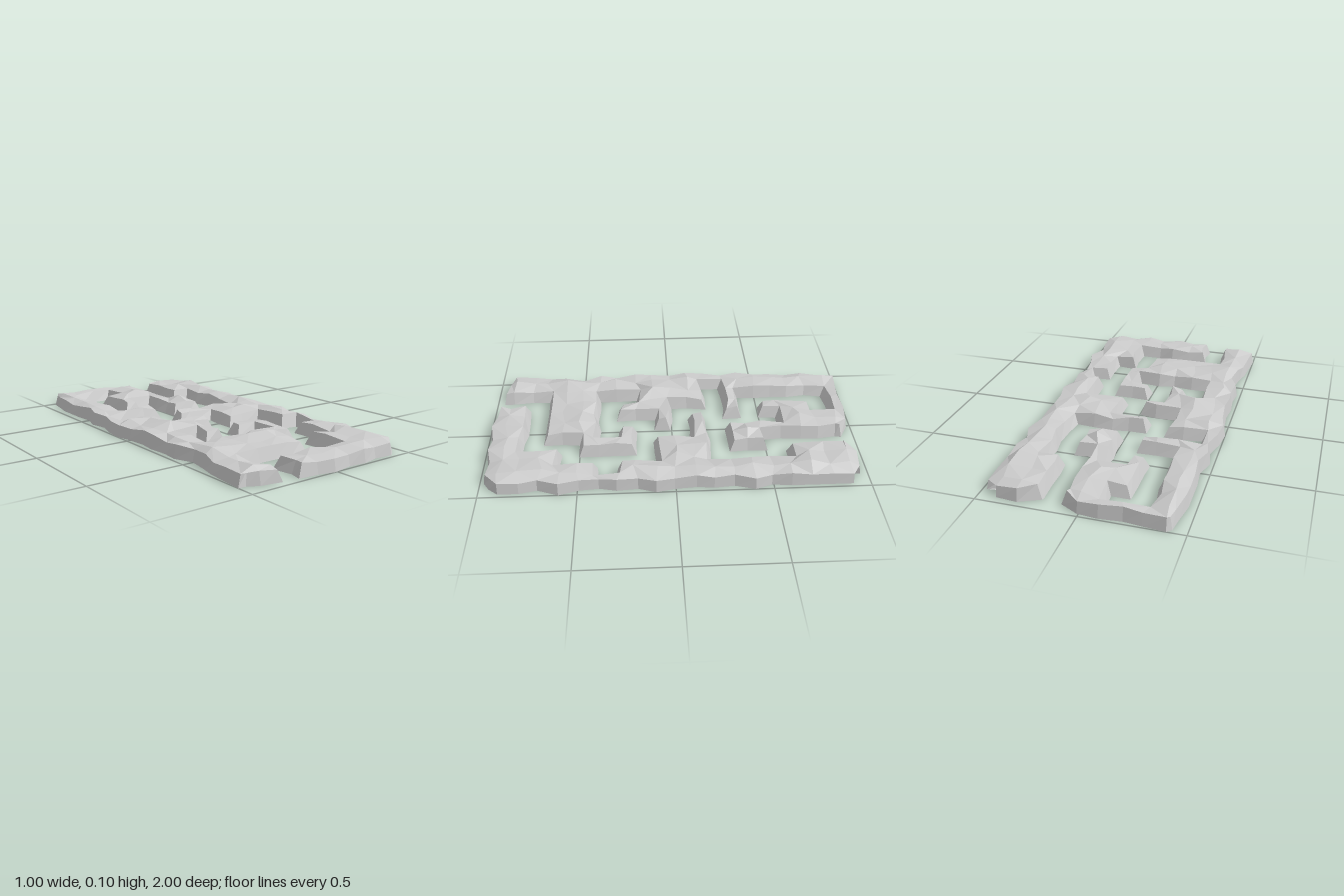
import * as THREE from 'three';

// Floor plan of the rock, one character per 0.1 cell (back row first)
const PLAN = [
  '######.###', '##..##.###', '##.###.###', '##.###.###', '##.#.#..##',
  '##...##.##', '####.##.##', '#.......##', '###.######', '###...####',
  '#####.####', '####....##', '##.#.##.##', '##....#..#', '#######.##',
  '######..##', '######.###', '##.....###', '##.#######', '##.#######',
];
// Uneven outer border, one value per grid line
const LEFT = [-.43, -.44, -.46, -.46, -.46, -.45, -.48, -.46, -.49, -.5, -.48, -.47, -.48, -.47, -.48, -.44, -.46, -.48, -.49, -.5, -.46];
const RIGHT = [.4, .48, .48, .48, .48, .47, .5, .47, .48, .47, .48, .5, .47, .48, .46, .47, .5, .46, .48, .48, .44];
const BACK = [-.98, -1, -.99, -.98, -.99, -.98, -.93, -.92, -.97, -.96, -.88];
const FRONT = [.91, .94, .96, .97, .98, 1, .98, .99, .97, .98, .95];
// Highest rock tops, keyed by grid column and row
const PEAKS = { '2,11': .1, '9,3': .105, '8,3': .09, '6,6': .095, '5,6': .06, '4,15': .085, '5,15': .09, '1,16': .09, '4,3': .08, '5,3': .09, '1,9': .085, '9,17': .085 };

const filled = (c, r) => PLAN[r]?.[c] === '#';

function noise(i, j, k) {
  const s = Math.sin(i * 12.99 + j * 78.23 + k * 37.72) * 43758.55;
  return (s - Math.floor(s)) * 2 - 1;
}

// Ground and top point of one grid corner
function corner(i, j) {
  let dx = 0, dz = 0, count = 0;
  for (const sx of [-1, 1]) for (const sz of [-1, 1]) {
    if (!filled(i + (sx - 1) / 2, j + (sz - 1) / 2)) continue;
    dx += sx; dz += sz; count++;
  }
  const outerX = i === 0 || i === 10, outerZ = j === 0 || j === 20;
  const x = i === 0 ? LEFT[j] : i === 10 ? RIGHT[j] : -0.5 + i * 0.1 + noise(i, j, 1) * 0.01;
  const z = j === 0 ? BACK[i] : j === 20 ? FRONT[i] : -1 + j * 0.1 + noise(i, j, 2) * 0.01;
  const inner = count === 4;
  const y = PEAKS[`${i},${j}`] ?? (inner ? 0.077 + noise(i, j, 3) * 0.009 : 0.064 + noise(i, j, 3) * 0.011);
  const tx = x + Math.sign(dx) * (outerX ? 0.012 : 0.025) + (inner ? noise(i, j, 4) * 0.015 : 0);
  const tz = z + Math.sign(dz) * (outerZ ? 0.012 : 0.025) + (inner ? noise(i, j, 5) * 0.015 : 0);
  return { low: [x, 0, z], high: [tx, y, tz] };
}

// All cells joined to a starting cell
function connectedCells(c, r) {
  const cells = [], seen = new Set(), queue = [[c, r]];
  while (queue.length) {
    const [x, y] = queue.pop();
    if (!filled(x, y) || seen.has(`${x},${y}`)) continue;
    seen.add(`${x},${y}`);
    cells.push([x, y]);
    queue.push([x + 1, y], [x - 1, y], [x, y + 1], [x, y - 1]);
  }
  return cells;
}

function rockMesh(name, cells) {
  const pos = [];
  const quad = (a, b, c, d) => pos.push(...a, ...b, ...c, ...a, ...c, ...d);
  for (const [c, r] of cells) {
    // ring runs front, right, back, left
    const ring = [corner(c, r + 1), corner(c + 1, r + 1), corner(c + 1, r), corner(c, r)];
    const beside = [[c, r + 1], [c + 1, r], [c, r - 1], [c - 1, r]];
    const shift = (c + r) % 2;
    const at = (k) => ring[(k + shift) % 4];
    quad(at(0).high, at(1).high, at(2).high, at(3).high);
    quad(at(3).low, at(2).low, at(1).low, at(0).low);
    // side walls only where the neighbouring cell is open
    beside.forEach(([nc, nr], k) => {
      if (filled(nc, nr)) return;
      const p = ring[k], q = ring[(k + 1) % 4];
      quad(p.low, q.low, q.high, p.high);
    });
  }
  const geometry = new THREE.BufferGeometry();
  geometry.setAttribute('position', new THREE.Float32BufferAttribute(pos, 3));
  geometry.computeVertexNormals();
  const mesh = new THREE.Mesh(geometry, new THREE.MeshStandardMaterial({ color: 0xcccccc, flatShading: true }));
  mesh.name = name;
  return mesh;
}

export function createModel() {
  const group = new THREE.Group();
  group.name = 'rockMaze';
  group.add(rockMesh('rightRockWall', connectedCells(0, 0)));
  group.add(rockMesh('leftRockWall', connectedCells(9, 0)));
  return group;
}
